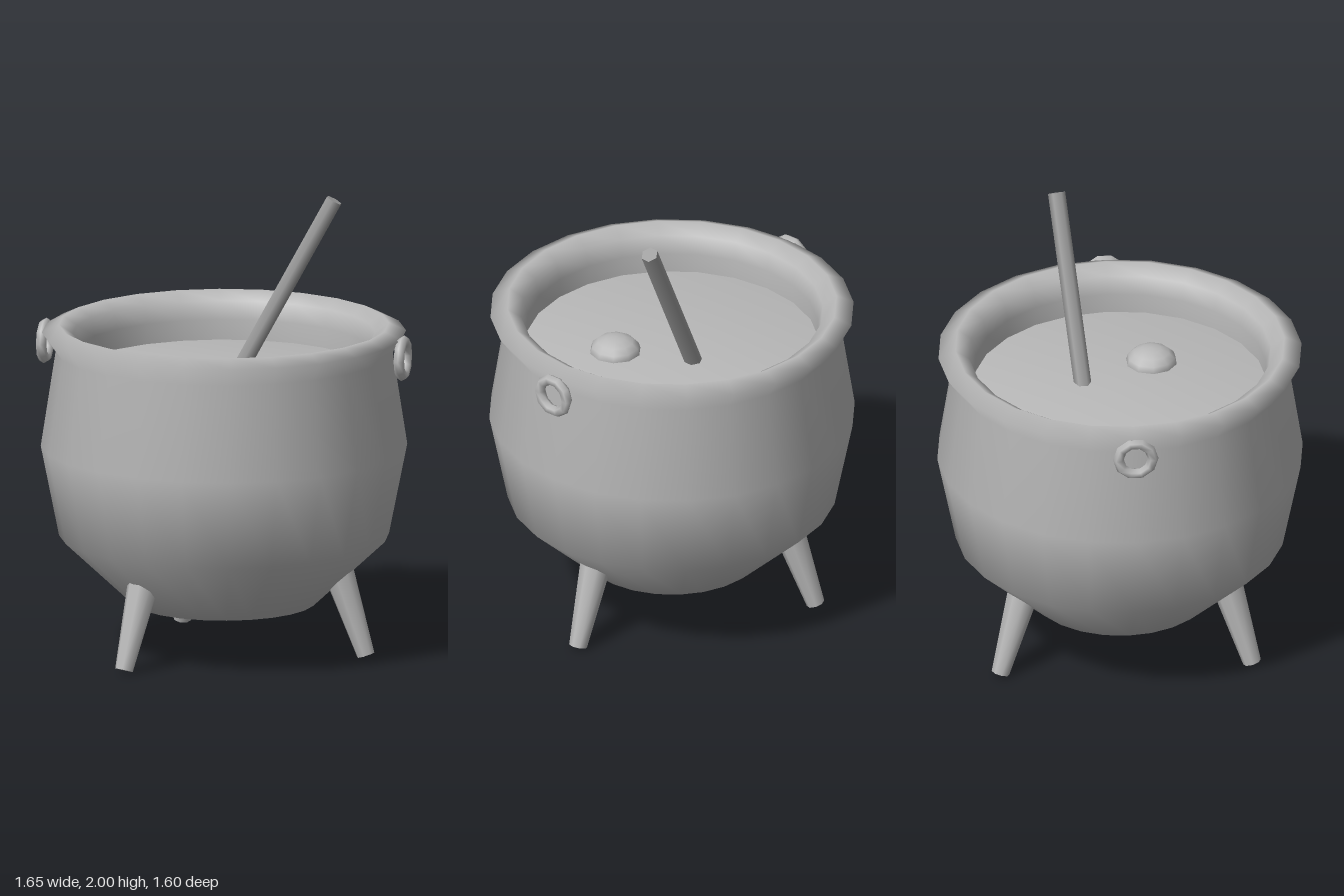
import * as THREE from 'three';

const castIron = new THREE.MeshStandardMaterial({ color: 0xbababa });
castIron.name = 'light grey';
const stickGrey = new THREE.MeshStandardMaterial({ color: 0x9c9c9c });
stickGrey.name = 'mid grey';

const SIDES = 24;

function part(name, geometry, material = castIron) {
  const mesh = new THREE.Mesh(geometry, material);
  mesh.name = name;
  return mesh;
}

// Surface of revolution from [radius, height] pairs
function turned(name, profile) {
  const points = profile.map(([r, y]) => new THREE.Vector2(r, y));
  return part(name, new THREE.LatheGeometry(points, SIDES));
}

// Tapered round bar running from one point to another
function rod(name, from, to, rFrom, rTo, sides, material) {
  const a = new THREE.Vector3(...from);
  const b = new THREE.Vector3(...to);
  const axis = b.clone().sub(a);
  const mesh = part(name, new THREE.CylinderGeometry(rTo, rFrom, axis.length(), sides), material);
  mesh.position.copy(a).add(b).multiplyScalar(0.5);
  mesh.quaternion.setFromUnitVectors(new THREE.Vector3(0, 1, 0), axis.normalize());
  return mesh;
}

export function createModel() {
  const model = new THREE.Group();
  model.name = 'cauldron';

  // Round belly, flared lip and inner wall
  model.add(turned('pot', [
    [0, 0.22], [0.4, 0.22], [0.72, 0.52], [0.8, 0.92], [0.735, 1.34],
    [0.795, 1.425], [0.72, 1.46], [0.66, 1.42], [0.64, 1.34], [0.645, 1.2],
  ]));

  // Liquid with softly rounded edge shading
  model.add(turned('liquid', [[0.65, 1.15], [0.65, 1.25], [0, 1.25]]));

  // Bubble on the surface
  const bubble = part('bubble', new THREE.SphereGeometry(0.113, 10, 8));
  bubble.scale.y = 0.62;
  bubble.position.set(0.2, 1.25, 0.155);
  model.add(bubble);

  // Stirring stick leaning against the rim
  model.add(rod('stirringStick', [0.02, 1.2, -0.155], [0.437, 1.982, -0.24], 0.038, 0.038, 6, stickGrey));

  // Three splayed legs
  for (let i = 0; i < 3; i++) {
    const angle = (i * Math.PI * 2) / 3;
    const at = (r, y) => [r * Math.cos(angle), y, r * Math.sin(angle)];
    model.add(rod('leg', at(0.636, 0.013), at(0.5, 0.42), 0.04, 0.073, 8));
  }

  // Ring handles on both sides
  for (const side of [-1, 1]) {
    const ring = part('ringHandle', new THREE.TorusGeometry(0.076, 0.024, 6, 10));
    ring.rotation.y = Math.PI / 2;
    ring.position.set(side * 0.802, 1.345, 0);
    model.add(ring);
  }

  return model;
}
